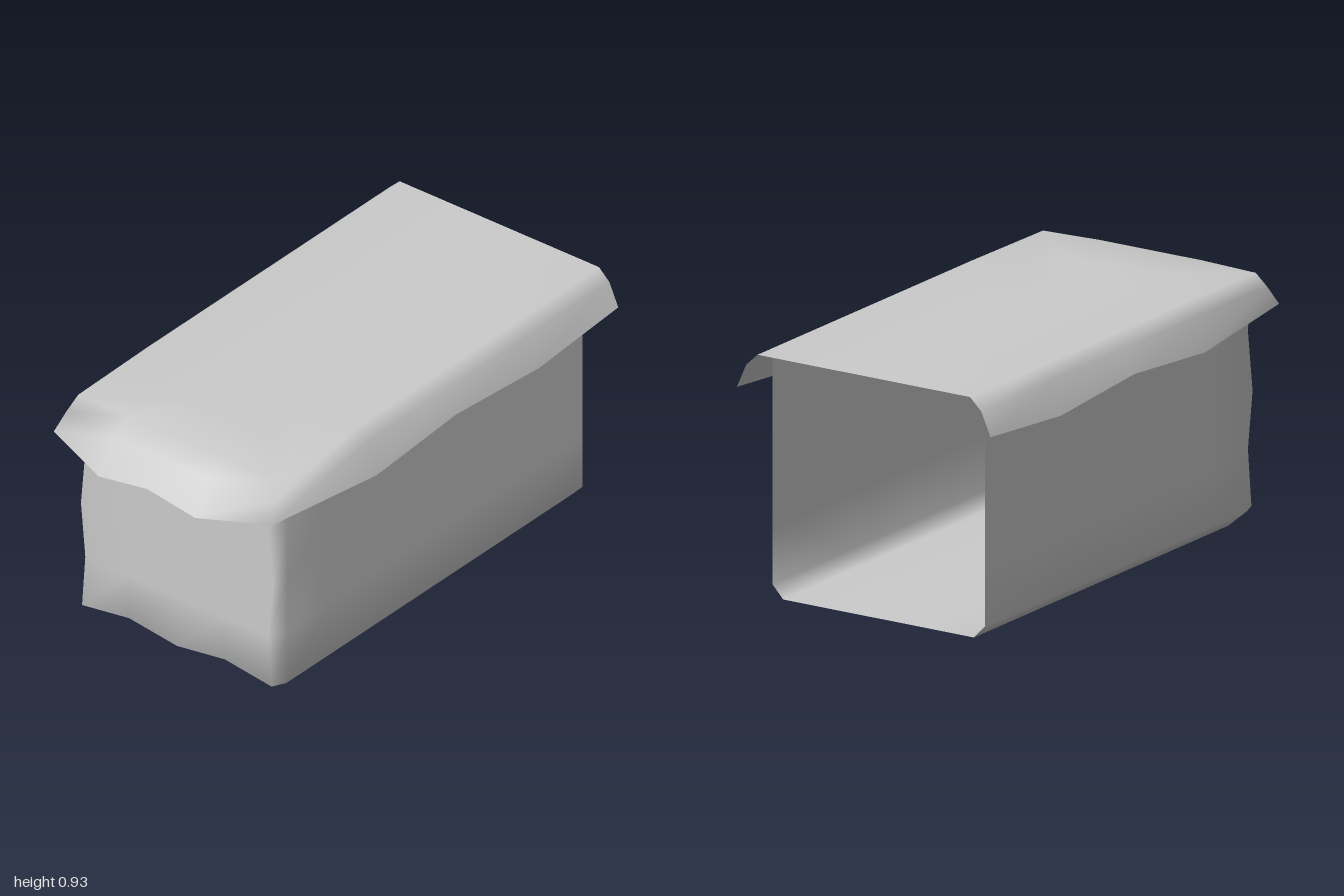
import * as THREE from 'three';

const material = new THREE.MeshStandardMaterial({ color: 0xcccccc, side: THREE.DoubleSide });

// Smooth surface through rows of points; stations run from +x round the front to -x
function skin(name, rows) {
  const n = rows[0].length, index = [];
  for (let r = 0; r < rows.length - 1; r++) {
    for (let s = 0; s < n - 1; s++) {
      const a = r * n + s, c = a + n;
      index.push(a, a + 1, c + 1, a, c + 1, c);
    }
  }
  const g = new THREE.BufferGeometry();
  g.setAttribute('position', new THREE.Float32BufferAttribute(rows.flat(2), 3));
  g.setIndex(index);
  g.computeVertexNormals();
  const mesh = new THREE.Mesh(g, material);
  mesh.name = name;
  return mesh;
}

// Completes a half row (back of +x side to front middle) with its mirror image
const mirrored = (half) => [...half, ...half.slice(0, -1).reverse().map(([x, y, z]) => [-x, y, z])];

// Draped cover: flat top, sloping shoulder and a scalloped hem
function makeCover() {
  const sideZ = [-1, -0.55, -0.08, 0.37];
  const hi = 0.795, lo = 0.76;
  const ring = (x, y, front, corner, endX, hem) => mirrored([
    ...sideZ.map((z, i) => [x, hem ? (i % 2 ? lo : hi) : y, z]),
    corner,
    [endX, hem ? lo : y, front],
    [0, hem ? hi : y, front],
  ]);
  return skin('cover', [
    ring(0, 0.93, 0.6, [0, 0.93, 0.6], 0, false),
    ring(0.22, 0.93, 0.6, [0.22, 0.93, 0.6], 0.11, false),
    ring(0.457, 0.93, 0.83, [0.457, 0.925, 0.825], 0.22, false),
    ring(0.505, 0.885, 0.915, [0.478, 0.865, 0.868], 0.22, false),
    ring(0.545, 0, 1, [0.5, hi, 0.91], 0.22, true),
  ]);
}

// Box body, open at the back, with uneven front corners and a bevelled base
function makeBody() {
  const sideZ = [-0.905, -0.4, 0.1, 0.55];
  const wall = (y, cornerX, crest) => mirrored([
    ...sideZ.map((z) => [0.457, y, z]),
    [0.457, y, 0.77],
    [cornerX, y, 0.83],
    [0.22, y + crest, 0.83],
    [0, y, 0.83],
  ]);
  const floor = (x, front, crest) => mirrored([
    ...sideZ.map((z) => [x, 0, z]),
    [x, 0, Math.min(front, 0.72)],
    [x * 0.97, 0, front],
    [x * 0.5, 0, front - crest],
    [0, 0, front],
  ]);
  return skin('body', [
    wall(0.92, 0.435, 0),
    wall(0.7, 0.42, 0),
    wall(0.48, 0.44, 0),
    wall(0.26, 0.42, 0),
    wall(0.05, 0.435, 0.03),
    floor(0.41, 0.74, 0.03),
    floor(0.22, 0.6, 0),
    floor(0, 0.6, 0),
  ]);
}

export function createModel() {
  const group = new THREE.Group();
  group.name = 'coveredBox';
  group.add(makeBody(), makeCover());
  return group;
}
